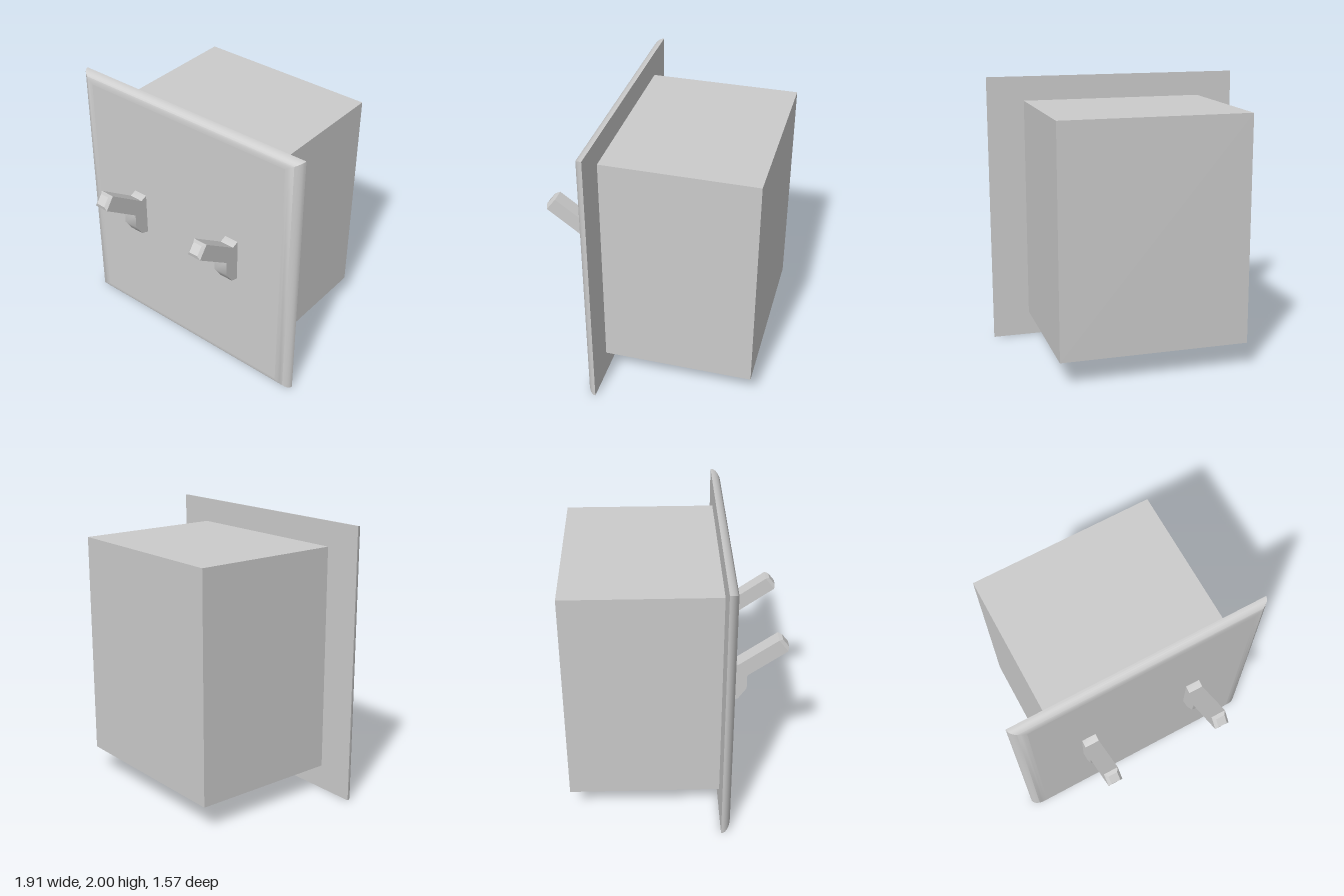
import * as THREE from 'three';
import { toCreasedNormals } from 'three/addons/utils/BufferGeometryUtils.js';
import { ConvexGeometry } from 'three/addons/geometries/ConvexGeometry.js';

const material = new THREE.MeshStandardMaterial({ color: 0xcccccc });

function part(name, geometry, parent) {
  const mesh = new THREE.Mesh(geometry, material);
  mesh.name = name;
  parent.add(mesh);
  return mesh;
}

// Rounded border: rectangular loops that shrink along a quarter ellipse
function borderGeometry(halfW, halfH, insetX, insetY, depth, steps) {
  const positions = [], index = [];
  for (let k = 0; k <= steps; k++) {
    const t = (k / steps) * Math.PI / 2;
    const w = halfW - insetX * (1 - Math.cos(t));
    const h = halfH - insetY * (1 - Math.cos(t));
    const z = depth * Math.sin(t);
    positions.push(-w, -h, z, w, -h, z, w, h, z, -w, h, z);
  }
  for (let k = 0; k < steps; k++) {
    for (let i = 0; i < 4; i++) {
      const a = k * 4 + i, b = k * 4 + (i + 1) % 4;
      index.push(a, b, b + 4, a, b + 4, a + 4);
    }
  }
  const geometry = new THREE.BufferGeometry();
  geometry.setAttribute('position', new THREE.Float32BufferAttribute(positions, 3));
  geometry.setIndex(index);
  return toCreasedNormals(geometry, 0.6);
}

function createCoverPlate() {
  const plate = new THREE.Group();
  plate.name = 'coverPlate';
  const halfW = 0.955, halfH = 1, insetX = 0.11, insetY = 0.07, depth = 0.07;
  part('plateBorder', borderGeometry(halfW, halfH, insetX, insetY, depth, 8), plate);
  part('plateFace', new THREE.PlaneGeometry(2 * (halfW - insetX), 2 * (halfH - insetY)), plate)
    .position.z = depth;
  part('plateBack', new THREE.PlaneGeometry(2 * halfW, 2 * halfH), plate).rotation.y = Math.PI;
  plate.position.set(0, 1, 0.31);
  return plate;
}

function createToggle(x) {
  const toggle = new THREE.Group();
  toggle.name = x > 0 ? 'leftToggle' : 'rightToggle';
  const half = 0.054, inset = 0.02;

  // Side profile as (z, y): pivot housing and slanted lever
  const profile = [
    [0.36, 0.84], [0.38, 0.84], [0.44, 0.86], [0.5, 0.95], [0.5, 1.06],
    [0.778, 1.26], [0.71, 1.35], [0.43, 1.15], [0.38, 1.17], [0.36, 1.17],
  ].map(([z, y]) => new THREE.Vector2(z, y));
  const lever = new THREE.ExtrudeGeometry(new THREE.Shape(profile), { depth: 2 * half, bevelEnabled: false });
  lever.rotateY(-Math.PI / 2).translate(half, 0, 0);
  part('lever', toCreasedNormals(lever, 0.75), toggle);

  // Chamfered tip
  const points = [];
  for (const s of [-1, 1]) {
    points.push(
      new THREE.Vector3(s * half, 1.26, 0.778), new THREE.Vector3(s * half, 1.35, 0.71),
      new THREE.Vector3(s * (half - inset), 1.288, 0.783), new THREE.Vector3(s * (half - inset), 1.346, 0.738),
    );
  }
  part('leverTip', new ConvexGeometry(points), toggle);
  toggle.position.x = x;
  return toggle;
}

export function createModel() {
  const model = new THREE.Group();
  model.name = 'doubleToggleSwitch';

  // Wall box behind the plate
  part('wallBox', new THREE.BoxGeometry(1.36, 1.64, 1.095), model).position.set(0, 1, -0.2375);
  model.add(createCoverPlate());
  for (const side of [-1, 1]) model.add(createToggle(side * 0.427));
  return model;
}
